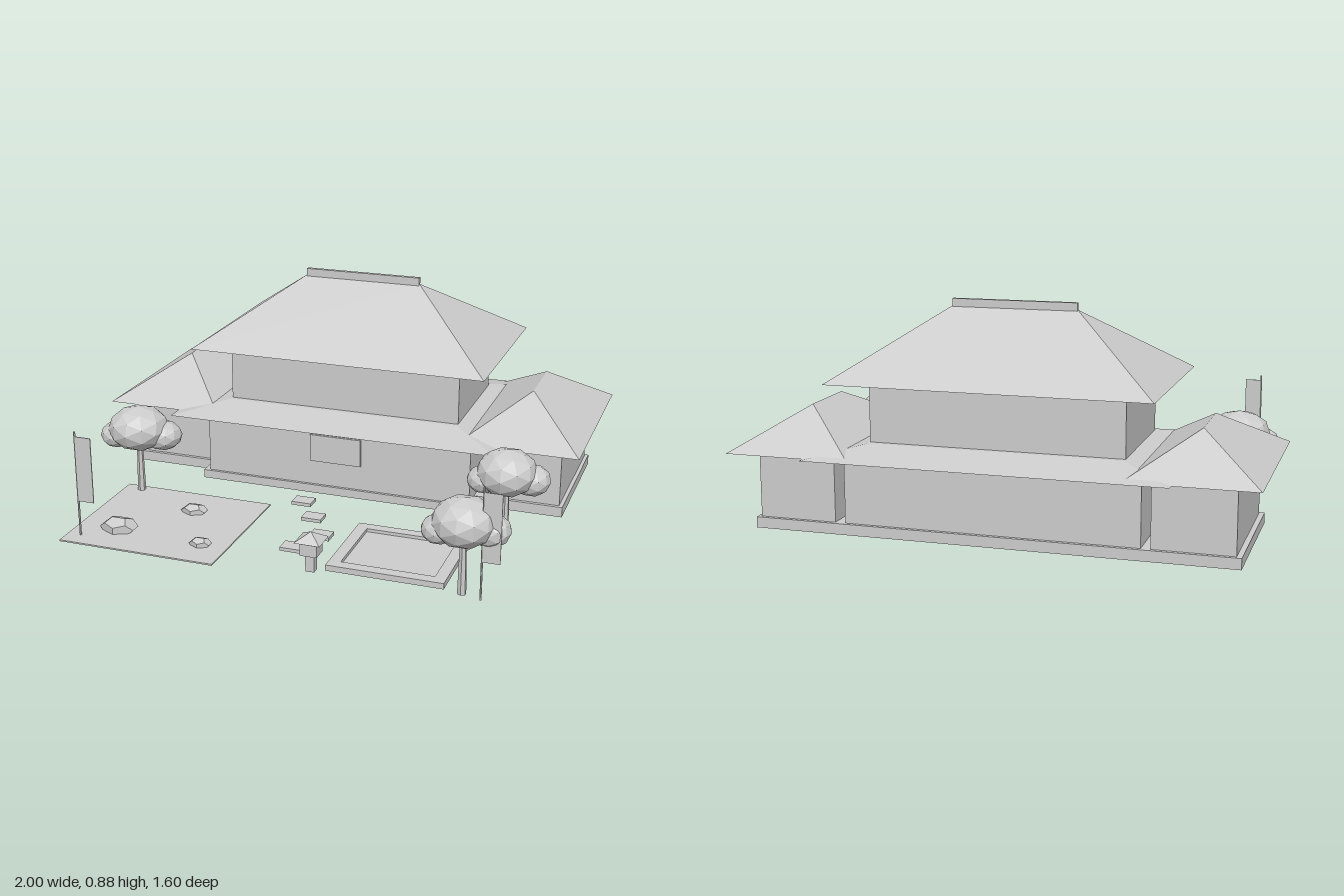
import * as THREE from 'three';

const material = (name, color, extra = {}) => {
  const m = new THREE.MeshStandardMaterial({ color, ...extra });
  m.name = name;
  return m;
};

// Closed roof or block between a lower and an upper rectangle: [x0, x1, z0, z1, y]
function frustum(lower, upper) {
  const ring = ([x0, x1, z0, z1, y]) => [[x0, y, z1], [x1, y, z1], [x1, y, z0], [x0, y, z0]];
  const a = ring(lower), b = ring(upper), pos = [];
  const quad = (p, q, r, s) => [p, q, r, p, r, s].forEach(v => pos.push(...v));
  for (let i = 0; i < 4; i++) {
    const j = (i + 1) % 4;
    quad(a[i], a[j], b[j], b[i]);
  }
  quad(b[0], b[1], b[2], b[3]);
  quad(a[3], a[2], a[1], a[0]);
  const g = new THREE.BufferGeometry();
  g.setAttribute('position', new THREE.Float32BufferAttribute(pos, 3));
  g.computeVertexNormals();
  return g;
}

export function createModel() {
  const model = new THREE.Group();
  model.name = 'courtyardHouse';
  const gray = material('plainGray', 0xcccccc, { flatShading: true });

  const add = (name, geometry, parent = model, x = 0, y = 0, z = 0) => {
    const mesh = new THREE.Mesh(geometry, gray);
    mesh.name = name;
    mesh.position.set(x, y, z);
    parent.add(mesh);
    return mesh;
  };
  // Box given by its limits
  const box = (name, x0, x1, y0, y1, z0, z1, parent = model) =>
    add(name, new THREE.BoxGeometry(x1 - x0, y1 - y0, z1 - z0), parent,
      (x0 + x1) / 2, (y0 + y1) / 2, (z0 + z1) / 2);

  // Main hall
  box('platform', -0.925, 0.925, 0.02, 0.062, -0.695, -0.095);
  box('frontPlatform', -0.59, 0.59, 0.02, 0.055, -0.1, 0);
  box('hallWalls', -0.565, 0.565, 0.05, 0.335, -0.68, -0.012);
  box('upperWalls', -0.49, 0.49, 0.33, 0.6, -0.602, -0.094);
  add('lowerRoof', frustum([-0.688, 0.688, -0.805, 0.1, 0.322], [-0.49, 0.49, -0.625, -0.075, 0.362]));
  add('upperRoof', frustum([-0.618, 0.618, -0.738, 0.03, 0.597], [-0.245, 0.245, -0.352, -0.348, 0.855]));
  box('ridgeBeam', -0.245, 0.245, 0.845, 0.882, -0.358, -0.34);

  // Entrance
  box('door', -0.11, 0.108, 0.16, 0.275, -0.012, -0.002);
  box('lintel', -0.15, 0.145, 0.287, 0.318, -0.012, 0);

  // Side wings
  for (const s of [-1, 1]) {
    const wing = new THREE.Group();
    wing.name = s > 0 ? 'leftWing' : 'rightWing';
    model.add(wing);
    const c = s * 0.755;
    box('wingWalls', c - 0.15, c + 0.155, 0.06, 0.325, -0.68, -0.11, wing);
    add('wingRoof', frustum([c - 0.245, c + 0.245, -0.775, 0.025, 0.322],
      [c - 0.001, c + 0.001, -0.53, -0.265, 0.478]), wing);
  }

  // Raked garden with rocks
  box('gardenBed', -0.85, -0.212, 0.02, 0.026, 0.184, 0.766);
  const rocks = [[-0.68, 0.038, 0.6, 0.077, 0.038, 0.06], [-0.473, 0.033, 0.353, 0.055, 0.026, 0.043],
    [-0.322, 0.033, 0.626, 0.045, 0.023, 0.034]];
  for (const [x, y, z, rx, ry, rz] of rocks)
    add('rock', new THREE.DodecahedronGeometry(1, 0), model, x, y, z).scale.set(rx, ry, rz);

  // Pond with a raised rim
  box('pondBase', 0.2, 0.644, 0.02, 0.03, 0.272, 0.66);
  box('pondRimBack', 0.197, 0.647, 0.02, 0.043, 0.269, 0.312);
  box('pondRimFront', 0.197, 0.647, 0.02, 0.043, 0.618, 0.663);
  box('pondRimRight', 0.197, 0.242, 0.02, 0.043, 0.312, 0.618);
  box('pondRimLeft', 0.602, 0.647, 0.02, 0.043, 0.312, 0.618);

  // Stepping stones
  for (const [x, z] of [[-0.095, 0.113], [-0.003, 0.247], [0.084, 0.393], [0.017, 0.53]])
    box('steppingStone', x - 0.041, x + 0.041, 0.02, 0.034, z - 0.032, z + 0.032);

  // Stone lantern
  const lantern = new THREE.Group();
  lantern.name = 'lantern';
  lantern.position.set(0.147, 0, 0.675);
  model.add(lantern);
  box('lanternPost', -0.017, 0.017, 0.02, 0.09, -0.017, 0.017, lantern);
  box('lanternBox', -0.033, 0.033, 0.088, 0.145, -0.033, 0.033, lantern);
  add('lanternRoof', frustum([-0.05, 0.05, -0.05, 0.05, 0.142], [0, 0, 0, 0, 0.175]), lantern);

  // Trees: trunk and three faceted clumps
  const clumps = [[0, 0.3, 0, 0.122, 0.092], [0.093, 0.27, -0.026, 0.076, 0.061], [-0.087, 0.268, 0.02, 0.066, 0.054]];
  for (const [x, z, k] of [[-0.775, 0.217, 1.03], [0.755, 0.182, 0.98], [0.715, 0.672, 0.98]]) {
    const tree = new THREE.Group();
    tree.name = 'tree';
    tree.position.set(x, 0, z);
    model.add(tree);
    add('trunk', new THREE.CylinderGeometry(0.012, 0.017, 0.22, 6), tree, 0, 0.13, 0);
    for (const [cx, cy, cz, r, ry] of clumps)
      add('foliage', new THREE.IcosahedronGeometry(1, 1), tree, cx * k, cy, cz * k)
        .scale.set(r * k, ry, r * k);
  }

  // Banners on poles
  for (const x of [-0.795, 0.79]) {
    const banner = new THREE.Group();
    banner.name = 'banner';
    banner.position.set(x, 0, 0.698);
    model.add(banner);
    add('bannerPole', new THREE.CylinderGeometry(0.004, 0.004, 0.432, 6), banner, 0, 0.236, 0);
    box('bannerCloth', 0.002, 0.066, 0.168, 0.432, -0.002, 0.002, banner);
  }

  return model;
}
